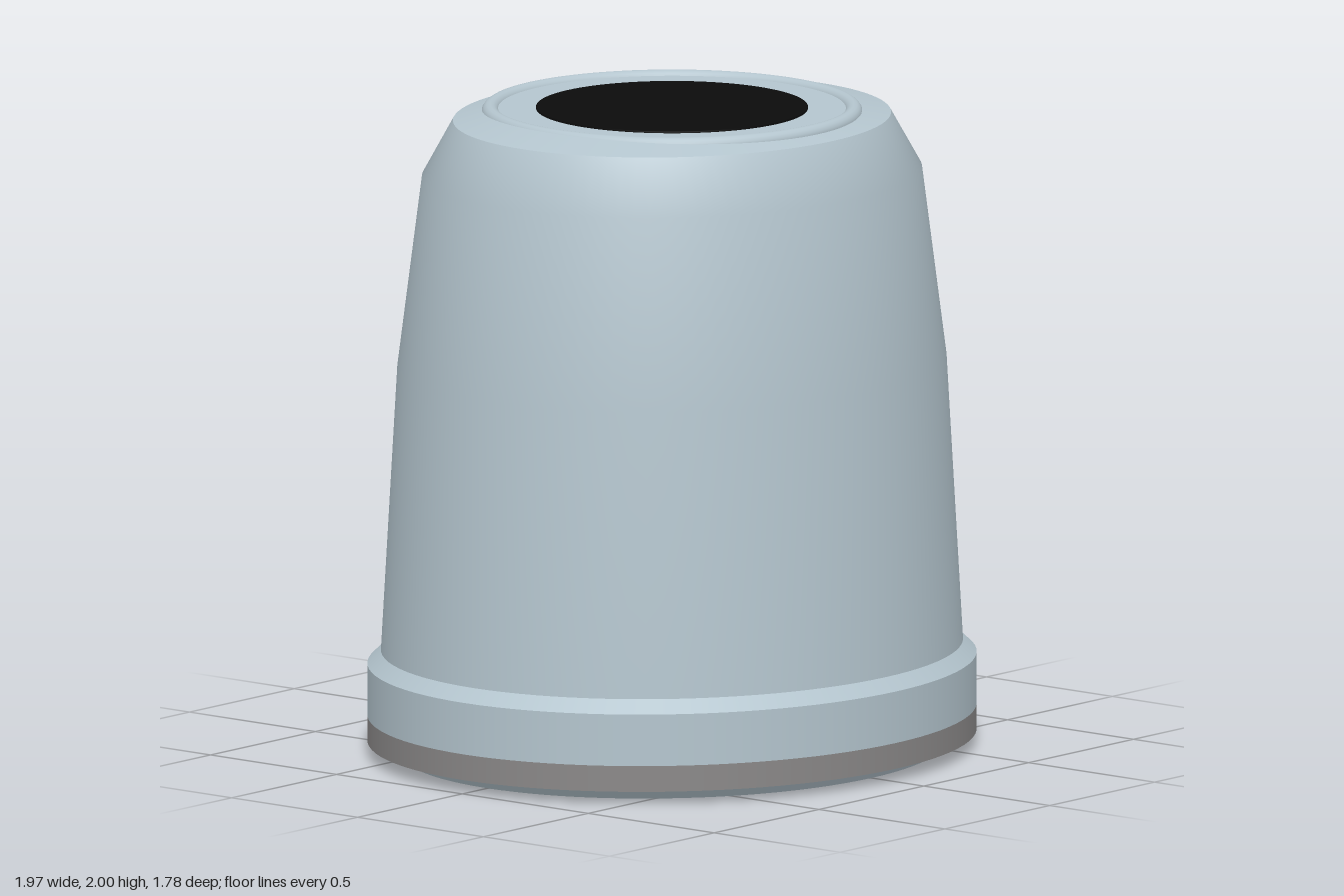
import * as THREE from 'three';

const SEGMENTS = 96;
const DEPTH = 0.9; // oval footprint: depth relative to width

const shell = new THREE.MeshStandardMaterial({ color: 0xb4c5ce });
shell.name = 'paleBlueShell';
const trim = new THREE.MeshStandardMaterial({ color: 0x8a8888 });
trim.name = 'greyTrim';
const black = new THREE.MeshStandardMaterial({ color: 0x0b0b0b });
black.name = 'blackInset';

// Profile points run from bottom to top so that faces point outwards
function turned(points, depth = DEPTH) {
  const profile = points.map(([r, y]) => new THREE.Vector2(r, y));
  return new THREE.LatheGeometry(profile, SEGMENTS).scale(1, 1, depth);
}

// Sloping lid that blends the oval shoulder into the round ring
function lidGeometry() {
  const geometry = turned([[0.71, 1.96], [0.57, 1.98]], 1);
  const p = geometry.attributes.position;
  for (let i = 0; i < p.count; i++) {
    const x = p.getX(i), z = p.getZ(i);
    if (p.getY(i) < 1.97) p.setZ(i, z * DEPTH);
    else p.setY(i, 1.96 + 0.16 * (1 - Math.hypot(x / 0.71, z / (0.71 * DEPTH))));
  }
  geometry.computeVertexNormals();
  return geometry;
}

export function createModel() {
  const model = new THREE.Group();
  model.name = 'ovalContainer';
  const add = (name, geometry, material) => {
    const mesh = new THREE.Mesh(geometry, material);
    mesh.name = name;
    model.add(mesh);
    return mesh;
  };

  // Chamfered foot
  add('footUnderside', turned([[0, 0], [0.88, 0]]), shell);
  add('footChamfer', turned([[0.88, 0], [0.92, 0.04]]), shell);

  // Base band with the grey strip along its lower edge
  add('bandUnderside', turned([[0.9, 0.04], [0.987, 0.04]]), trim);
  add('bandTrim', turned([[0.987, 0.04], [0.987, 0.12]]), trim);
  add('band', turned([[0.987, 0.12], [0.987, 0.28]]), shell);
  add('bandChamfer', turned([[0.987, 0.28], [0.943, 0.32]]), shell);

  // Tapered body and shoulder
  add('body', turned([[0.943, 0.32], [0.89, 1.2], [0.81, 1.79], [0.71, 1.96]]), shell);

  // Lid, raised ring and round inset
  add('lid', lidGeometry(), shell);
  const ring = add('lidRing', new THREE.TorusGeometry(0.555, 0.027, 16, SEGMENTS), shell);
  ring.rotation.x = -Math.PI / 2;
  ring.position.y = 1.973;
  add('lidPlate', turned([[0.55, 1.985], [0, 1.985]], 1), shell);
  add('inset', turned([[0.415, 1.985], [0.415, 1.99], [0.414, 1.991], [0, 1.991]], 1), black);

  return model;
}
